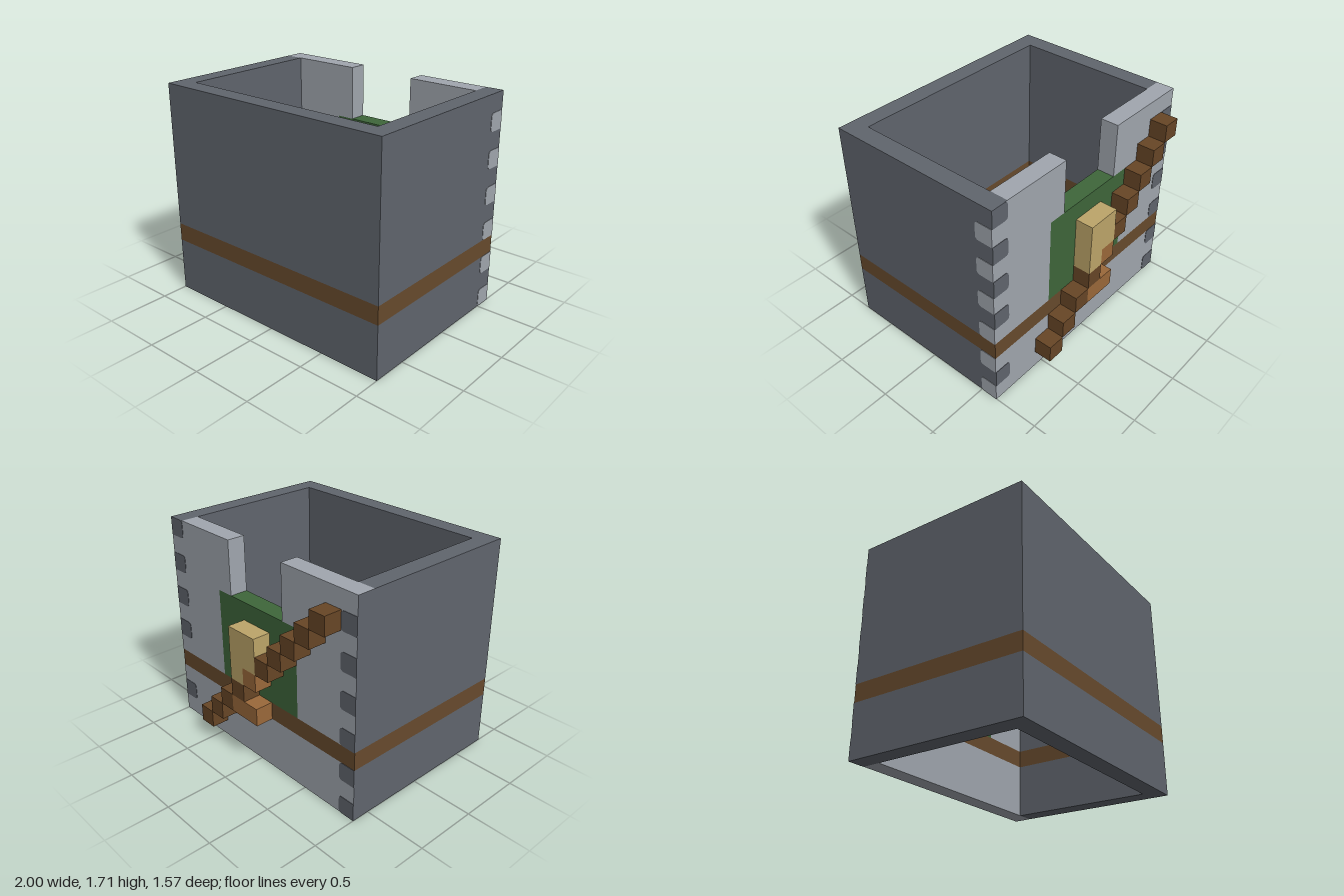
import * as THREE from 'three';

const U = 1 / 7; // the model sits on a grid of 14 x 12 x 11 cells
const paint = (name, color) => {
  const m = new THREE.MeshStandardMaterial({ color });
  m.name = name;
  return m;
};

export function createModel() {
  const model = new THREE.Group();
  model.name = 'joinedBox';
  const dark = paint('dark grey', 0x60656d);
  const light = paint('light grey', 0xa0a6ae);
  const stripe = paint('stripe brown', 0x674a2d);
  const brown = paint('bar brown', 0x674626);
  const copper = paint('light brown', 0x9a683a);
  const tan = paint('tan', 0xbda569);
  const green = paint('green', 0x3e663a);

  // Box between grid cells; x counts from the right, z from the back
  function block(name, material, x0, x1, y0, y1, z0, z1) {
    const geo = new THREE.BoxGeometry((x1 - x0) * U, (y1 - y0) * U, (z1 - z0) * U);
    const mesh = new THREE.Mesh(geo, material);
    mesh.position.set((x0 + x1 - 14) * U / 2, (y0 + y1) * U / 2, (z0 + z1 - 11) * U / 2);
    mesh.name = name;
    model.add(mesh);
  }

  // Thin finger joint plate with rounded inner corners, running along s * x
  function finger(name, material, s, x, row, z, turn) {
    const r = 0.03;
    const shape = new THREE.Shape();
    shape.moveTo(0, 0);
    shape.lineTo(s * (U - r), 0);
    shape.quadraticCurveTo(s * U, 0, s * U, r);
    shape.lineTo(s * U, U - r);
    shape.quadraticCurveTo(s * U, U, s * (U - r), U);
    shape.lineTo(0, U);
    const geo = new THREE.ExtrudeGeometry(shape, { depth: 0.003, bevelEnabled: false, curveSegments: 4 });
    const mesh = new THREE.Mesh(geo, material);
    mesh.position.set(x, row * U, z);
    mesh.rotation.y = turn;
    mesh.name = name;
    model.add(mesh);
  }

  // Dark front and side walls below and above the stripe
  for (const [y0, y1] of [[0, 3], [4, 12]]) {
    block('frontWall', dark, 0, 14, y0, y1, 10, 11);
    block('rightWall', dark, 13, 14, y0, y1, 2, 10);
    block('leftWall', dark, 0, 1, y0, y1, 2, 10);
    // Corner posts: dark outside, light at the back
    block('cornerPost', [dark, dark, dark, light, dark, light], 13, 14, y0, y1, 1, 2);
    block('cornerPost', [dark, dark, light, dark, dark, light], 0, 1, y0, y1, 1, 2);
  }

  // Stripe all around
  block('frontStripe', stripe, 0, 14, 3, 4, 10, 11);
  block('backStripe', stripe, 0, 14, 3, 4, 1, 2);
  block('sideStripe', stripe, 0, 1, 3, 4, 2, 10);
  block('sideStripe', stripe, 13, 14, 3, 4, 2, 10);

  // Light back wall with a gap at the top and a green panel
  block('backWallBase', light, 1, 13, 0, 3, 1, 2);
  for (const [a, b, c, d] of [[1, 4, 1, 5], [10, 13, 9, 13]]) {
    block('backWall', light, a, b, 4, 9, 1, 2);
    block('backWallTop', light, c, d, 9, 12, 1, 2);
  }
  block('greenPanel', green, 4, 10, 4, 9, 1, 2);

  // Finger joints at the back corners
  const back = -4.5 * U;
  for (let row = 0; row < 12; row++) {
    if (row === 3) continue;
    if (row % 2 === 0) {
      finger('sideFinger', light, -1, 1, row, back, Math.PI / 2);
      finger('backFinger', dark, -1, -1, row, back, Math.PI);
    } else {
      finger('backFinger', dark, 1, 1, row, back, Math.PI);
    }
  }

  // Diagonal stepped bar; one step is the lighter clasp over the tan plate
  for (let i = 0; i < 10; i++) {
    block('diagonalBar', i === 5 ? copper : brown, 1 + i, 2 + i, 10 - i, 11 - i, 0, 1);
  }
  // Tan plate around the clasp, and the ledge below
  block('tanPlate', tan, 6, 8, 6, 8, 0, 1);
  block('tanPlateFoot', tan, 7, 8, 5, 6, 0, 1);
  block('ledge', copper, 6, 8, 3, 4, 0, 1);

  return model;
}
